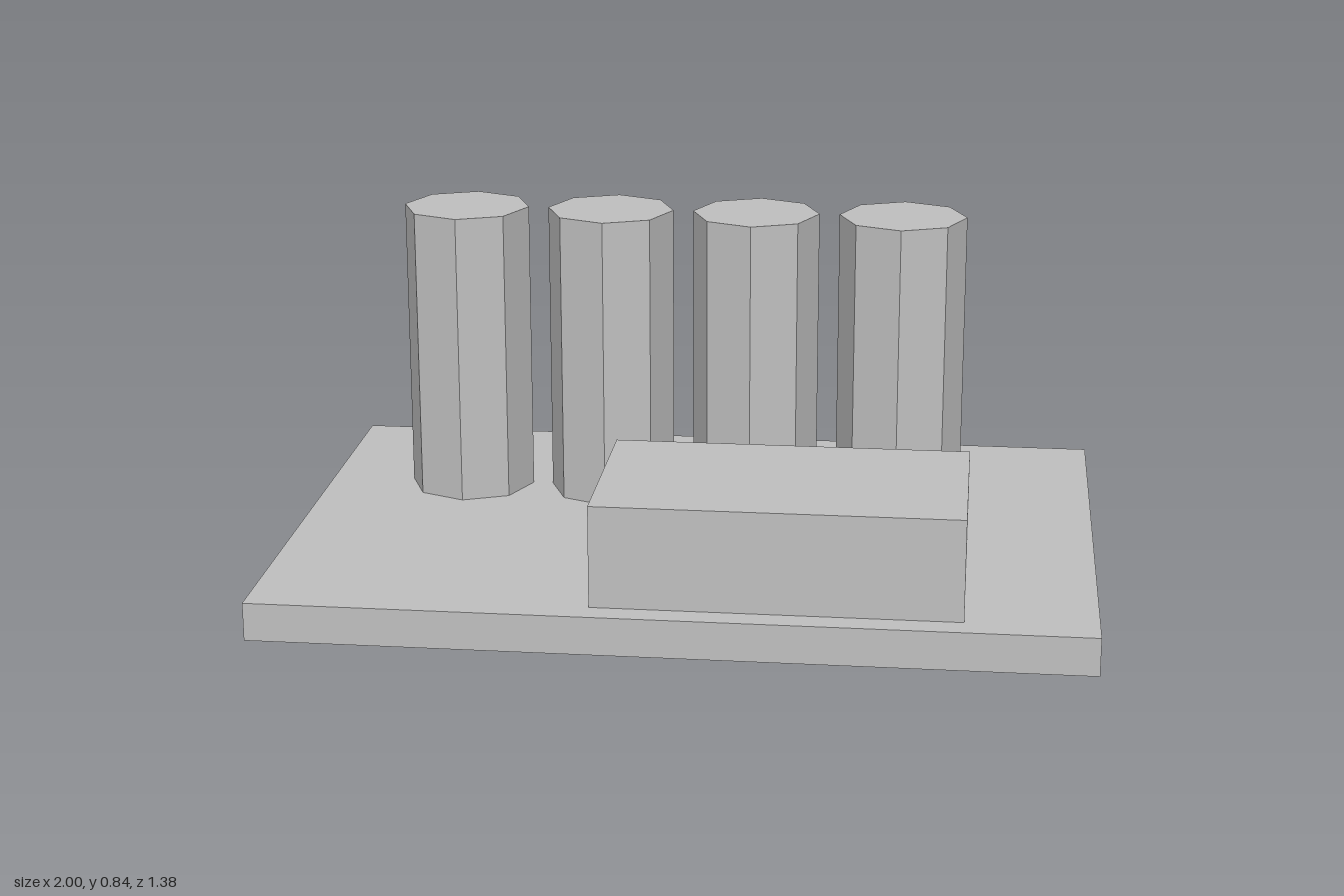
import * as THREE from 'three';

export function createModel() {
  const model = new THREE.Group();
  const grey = new THREE.MeshStandardMaterial({ color: 0xc0c0c0, flatShading: true });
  grey.name = 'light grey';

  const add = (name, geometry, x, y, z) => {
    const mesh = new THREE.Mesh(geometry, grey);
    mesh.name = name;
    mesh.position.set(x, y, z);
    model.add(mesh);
  };

  const baseHeight = 0.094;

  // flat slab
  add('base', new THREE.BoxGeometry(2, baseHeight, 1.375), 0, baseHeight / 2, 0);

  // low block at the front
  add('block', new THREE.BoxGeometry(0.875, 0.25, 0.5), 0.25, baseHeight + 0.125, 0.375);

  // row of eight-sided columns at the back
  const column = new THREE.CylinderGeometry(0.162, 0.162, 0.75, 8);
  for (let i = 0; i < 4; i++) {
    add(`column${i + 1}`, column, -0.625 + i * 0.375, baseHeight + 0.375, -0.25);
  }

  return model;
}
